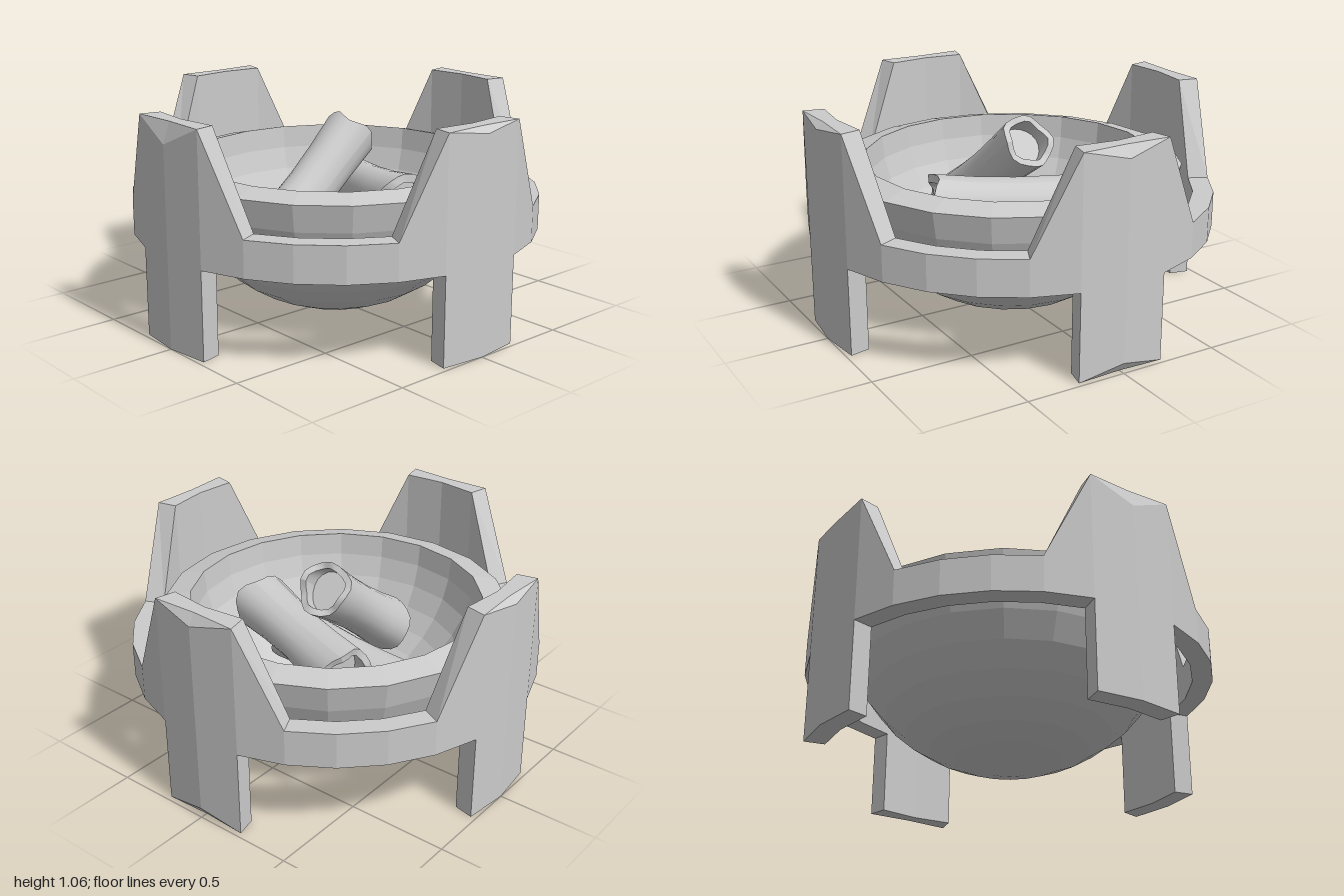
import * as THREE from 'three';

const flat = new THREE.MeshStandardMaterial({ color: 0xcccccc, flatShading: true });
const smooth = new THREE.MeshStandardMaterial({ color: 0xcccccc });

function add(group, name, geometry, material) {
  const mesh = new THREE.Mesh(geometry, material);
  mesh.name = name;
  group.add(mesh);
  return mesh;
}

// Stone ring: 28 segments, with four tapered uprights and four legs
function ringGeometry() {
  const N = 28, R = 1, r = 0.9, chipR = 0.965;
  const topChip = { 0: 0.03, 7: 0.055, 14: 0.03, 21: 0.1 };
  const bottomChip = { 7: 0.05 };
  const pos = [];
  const pt = (i, rad, y) => {
    const a = (i / N) * Math.PI * 2;
    return [rad * Math.sin(a), y, rad * Math.cos(a)];
  };
  const quad = (a, b, c, d) => pos.push(...a, ...b, ...c, ...a, ...c, ...d);
  const rel = (i) => ((i + 3) % 7) - 3; // steps from the nearest upright

  // Corners of one radial cross-section
  const section = (i, low) => {
    i %= N;
    const top = Math.abs(rel(i)) <= 1 ? 1.06 : 0.605;
    const tc = topChip[i] || 0, bc = bottomChip[i] || 0;
    return {
      innerLow: pt(i, r, low), innerTop: pt(i, r, top),
      edgeLow: pt(i, bc ? chipR : R, low), edgeTop: pt(i, tc ? chipR : R, top),
      wallLow: pt(i, R, low + bc), wallTop: pt(i, R, top - tc),
    };
  };

  for (let i = 0; i < N; i++) {
    const k = rel(i);
    const low = k === -1 || k === 0 ? 0 : 0.43;
    const a = section(i, low), b = section(i + 1, low);
    quad(a.wallLow, b.wallLow, b.wallTop, a.wallTop);
    quad(a.edgeTop, b.edgeTop, b.innerTop, a.innerTop);
    quad(b.innerLow, a.innerLow, a.innerTop, b.innerTop);
    quad(a.edgeLow, a.innerLow, b.innerLow, b.edgeLow);
    // Chipped edges
    if (topChip[i] || topChip[(i + 1) % N]) quad(a.wallTop, b.wallTop, b.edgeTop, a.edgeTop);
    if (bottomChip[i] || bottomChip[i + 1]) quad(a.edgeLow, b.edgeLow, b.wallLow, a.wallLow);
    // Leg sides
    const side = [pt(i, R, 0), pt(i, r, 0), pt(i, r, 0.43), pt(i, R, 0.43)];
    if (k === 1) quad(...side);
    if (k === -1) quad(...side.reverse());
  }
  const g = new THREE.BufferGeometry();
  g.setAttribute('position', new THREE.Float32BufferAttribute(pos, 3));
  g.computeVertexNormals();
  return g;
}

// Bowl: round outside, sloped rim, hollow inside
function bowlGeometry() {
  const profile = [];
  for (let i = 0; i <= 9; i++) {
    const t = (i / 9) * 1.43;
    profile.push(new THREE.Vector2(0.85 * Math.sin(t), 0.85 - 0.85 * Math.cos(t)));
  }
  for (let i = 9; i >= 0; i--) {
    const t = (i / 9) * Math.PI / 2;
    profile.push(new THREE.Vector2(0.715 * Math.sin(t), 0.76 - 0.65 * Math.cos(t)));
  }
  return new THREE.LatheGeometry(profile, 20);
}

// Log: flared shell with ragged, hollowed ends, laid from one point to another
function addLog(group, name, from, to, radius) {
  const a = new THREE.Vector3(...from), b = new THREE.Vector3(...to);
  const half = a.distanceTo(b) / 2, inner = radius * 0.76;
  const strips = [
    [[0, -half + 0.06], [inner, -half + 0.06]],
    [[inner, -half + 0.06], [inner, -half]],
    [[inner, -half], [radius * 1.06, -half]],
    [[radius * 1.06, -half], [radius * 0.95, -half * 0.5], [radius * 0.9, 0],
      [radius * 0.93, half * 0.5], [radius, half]],
    [[radius, half], [inner, half]],
    [[inner, half], [inner, half - 0.08]],
    [[inner, half - 0.08], [0, half - 0.08]],
  ];
  const log = new THREE.Group();
  log.name = name;
  for (const strip of strips) {
    const g = new THREE.LatheGeometry(strip.map((p) => new THREE.Vector2(...p)), 20);
    const p = g.attributes.position;
    for (let i = 0; i < p.count; i++) {
      const x = p.getX(i), y = p.getY(i), z = p.getZ(i);
      const ang = Math.atan2(z, x);
      const bump = 1 + 0.04 * Math.sin(3 * ang + y * 3);
      const ragged = Math.abs(y) > half - 0.001 ? 0.018 * Math.sin(4 * ang + 1) : 0;
      p.setXYZ(i, x * bump, y + ragged, z * bump);
    }
    g.computeVertexNormals();
    add(log, 'logSurface', g, smooth);
  }
  log.position.copy(a).add(b).multiplyScalar(0.5);
  log.quaternion.setFromUnitVectors(new THREE.Vector3(0, 1, 0), b.clone().sub(a).normalize());
  group.add(log);
}

export function createModel() {
  const model = new THREE.Group();
  model.name = 'firePit';
  add(model, 'stoneRing', ringGeometry(), flat);
  add(model, 'bowl', bowlGeometry(), flat);

  const logs = new THREE.Group();
  logs.name = 'logs';
  addLog(logs, 'raisedLog', [-0.46, 0.39, 0.03], [0.13, 0.85, -0.03], 0.135);
  addLog(logs, 'middleLog', [0.05, 0.59, 0.45], [0.3, 0.54, -0.3], 0.14);
  addLog(logs, 'lowerLog', [-0.08, 0.4, 0.37], [-0.04, 0.33, -0.39], 0.14);
  model.add(logs);
  return model;
}
